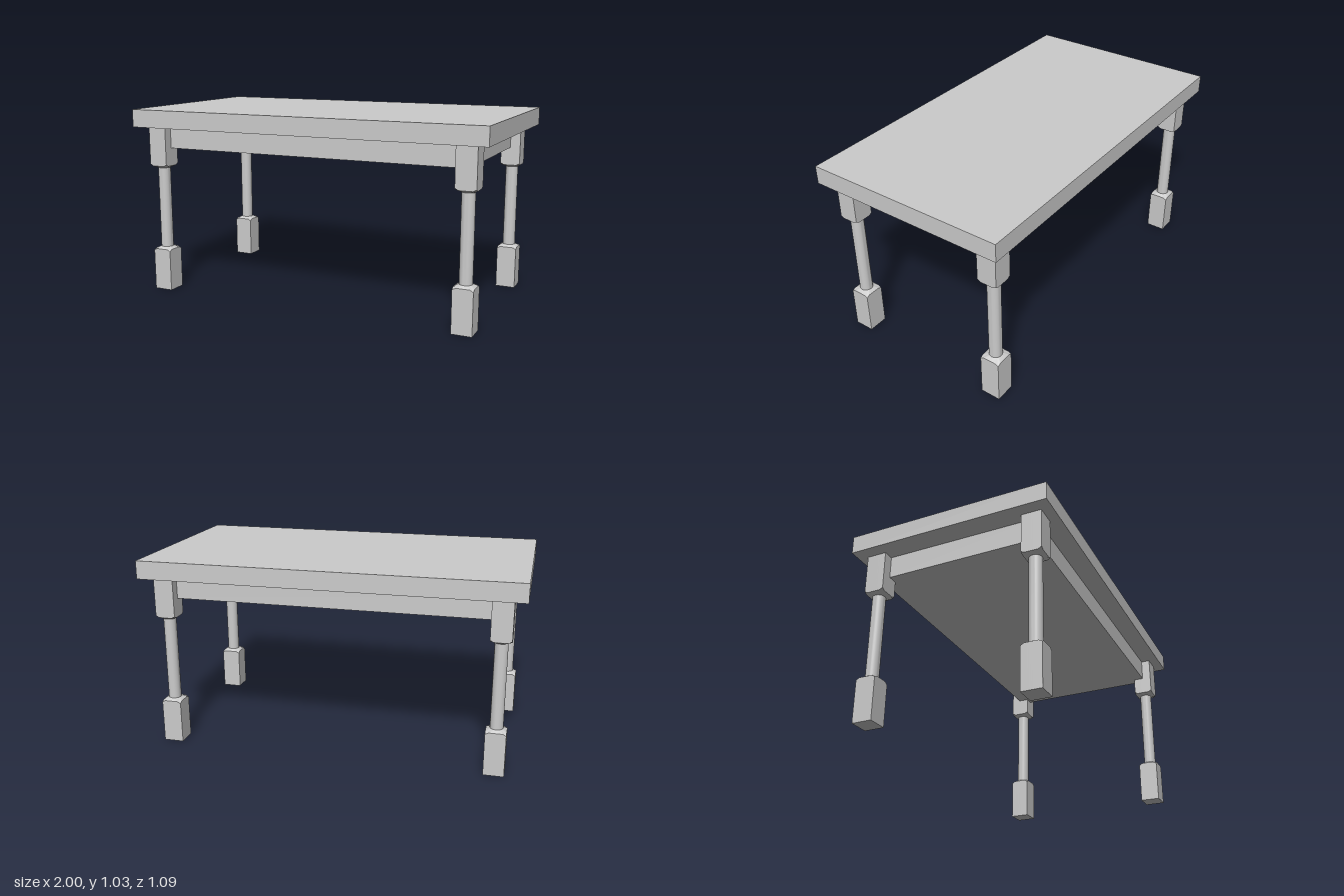
import * as THREE from 'three';
import { toCreasedNormals } from 'three/addons/utils/BufferGeometryUtils.js';

const HALF = 0.0535;   // half width of the square leg blocks
const RADIUS = 0.034;  // radius of the turned shaft
const SEGMENTS = 32;

// Rings of the leg from floor to top, each a function of the angle
const circle = (r, y) => (a) => [r * Math.cos(a), y, r * Math.sin(a)];
// Square ring; its edge moves by `rise` away from the corners
const square = (y, rise = 0) => (a) => {
  const c = Math.cos(a), s = Math.sin(a);
  const k = HALF / Math.max(Math.abs(c), Math.abs(s));
  const along = k * Math.min(Math.abs(c), Math.abs(s));
  const t = Math.min(1, (HALF - along) / (HALF - 0.0357));
  return [k * c, y + rise * t, k * s];
};

// One continuous leg: square foot, turned shaft, square head
function legGeometry() {
  const rings = [
    circle(0, 0), square(0), square(0.225, 0.01), circle(RADIUS, 0.247),
    circle(RADIUS, 0.7), square(0.722, -0.01), square(0.93), circle(0, 0.93),
  ];
  const positions = [];
  const last = rings.length - 2;
  for (let i = 0; i <= last; i++) {
    for (let j = 0; j < SEGMENTS; j++) {
      const a = (j / SEGMENTS) * Math.PI * 2;
      const b = ((j + 1) / SEGMENTS) * Math.PI * 2;
      const p = rings[i](a), q = rings[i](b);
      const up = rings[i + 1](a), upNext = rings[i + 1](b);
      if (i > 0) positions.push(...p, ...up, ...q);
      if (i < last) positions.push(...q, ...up, ...upNext);
    }
  }
  const geometry = new THREE.BufferGeometry();
  geometry.setAttribute('position', new THREE.Float32BufferAttribute(positions, 3));
  return toCreasedNormals(geometry, 0.45);
}

export function createModel() {
  const group = new THREE.Group();
  group.name = 'table';
  const material = new THREE.MeshStandardMaterial({ color: 0xcccccc });

  const add = (name, geometry, x, y, z) => {
    const mesh = new THREE.Mesh(geometry, material);
    mesh.name = name;
    mesh.position.set(x, y, z);
    group.add(mesh);
  };

  // Thick slab top and the solid apron block below it
  add('tableTop', new THREE.BoxGeometry(2, 0.097, 1.09), 0, 0.9795, 0);
  add('apron', new THREE.BoxGeometry(1.76, 0.121, 0.88), 0, 0.8715, 0);

  // Four legs
  const leg = legGeometry();
  for (const [side, x] of [['Left', 0.881], ['Right', -0.881]]) {
    for (const [end, z] of [['front', 0.437], ['back', -0.437]]) {
      add(`${end}${side}Leg`, leg, x, 0, z);
    }
  }
  return group;
}
